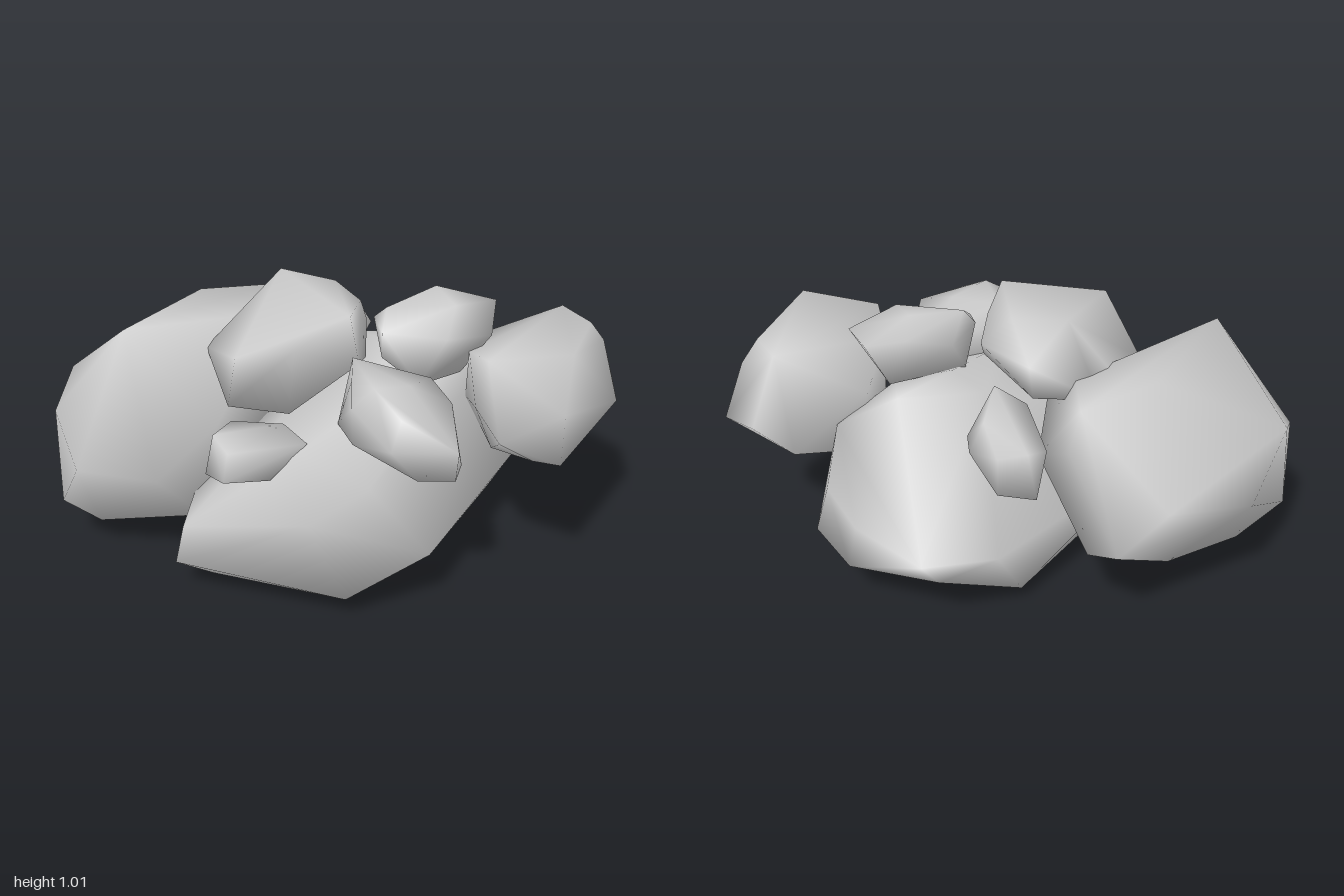
import * as THREE from 'three';
import { ConvexGeometry } from 'three/addons/geometries/ConvexGeometry.js';
import { mergeVertices } from 'three/addons/utils/BufferGeometryUtils.js';

const material = new THREE.MeshStandardMaterial({ color: 0xcccccc, roughness: 0.9 });

// A worn boulder: the hull of a few corners, shaded smoothly all round.
function rock(name, corners) {
  const hull = new ConvexGeometry(corners.map((c) => new THREE.Vector3(...c)));
  hull.deleteAttribute('normal');
  const smooth = mergeVertices(hull);
  smooth.computeVertexNormals();
  const mesh = new THREE.Mesh(smooth, material);
  mesh.name = name;
  return mesh;
}

// Corners of each boulder as [x, y, z]
const rocks = {
  // wide boulder the pile rests on
  baseRock: [
    [-0.62, 0.12, 0.3], [-0.59, 0.28, 0.33], [-0.49, 0.015, 0.23], [-0.17, 0, 0.25],
    [-0.07, 0.085, 0.57], [-0.01, 0.36, 0.64], [-0.2, 0.4, 0.59], [0, 0.53, 0.61],
    [-0.2, 0.58, 0.42], [0, 0.66, 0.32], [0.33, 0.245, 0.32], [0.22, 0.22, 0.55],
    [0.54, 0.19, 0.09], [0.45, 0.1, -0.15], [0.27, 0.05, 0.07], [0.71, 0.21, -0.13],
    [0.66, 0.42, -0.18], [0.57, 0.35, -0.33], [0.36, 0.33, -0.55], [0.1, 0.33, -0.53],
    [0.3, 0.24, -0.52], [0, 0.065, -0.37], [0.6, 0.18, -0.32], [0.4, 0.74, -0.13],
    [0.1, 0.75, -0.14], [0.2, 0.76, 0], [0.4, 0.7, 0.05], [-0.5, 0.3, 0],
    [0.61, 0.63, -0.1],
  ],
  // tall boulder leaning behind on the side
  largeBackRock: [
    [-0.27, 0.43, -0.7], [-0.44, 0.57, -0.67], [-0.76, 0.47, -0.52], [-0.93, 0.62, -0.29],
    [-1, 0.53, -0.12], [-1, 0.2, -0.15], [-1, 0.2, -0.05], [-0.93, 0.48, 0.24],
    [-0.67, 0.45, 0.31], [-0.74, 0.89, 0.03], [-0.45, 0.87, -0.34], [-0.18, 0.835, -0.43],
    [-0.2, 0.82, -0.2], [-0.82, 0.09, -0.2], [-0.87, 0.115, -0.03], [-0.5, 0.13, 0.02],
    [-0.14, 0.7, -0.47], [-0.07, 0.55, -0.25], [-0.5, 0.21, -0.46], [-0.45, 0.6, 0.22],
    [-0.2, 0.33, -0.54], [-0.12, 0.68, -0.1],
  ],
  // overhanging boulder on the opposite side
  sideRock: [
    [0.65, 0.72, 0.57], [0.65, 0.53, 0.56], [0.71, 0.875, 0.44], [0.81, 0.86, 0],
    [0.87, 0.85, 0.14], [0.5, 0.73, -0.07], [0.62, 0.65, -0.11], [0.76, 0.56, -0.165],
    [1, 0.6, 0.04], [0.98, 0.55, 0.17], [0.54, 0.37, 0.12], [0.65, 0.4, 0.13],
    [0.41, 0.66, 0.35], [0.42, 0.8, 0.2], [0.44, 0.58, 0.1], [0.93, 0.77, 0.12],
    [0.44, 0.84, 0.37], [0.9, 0.62, -0.08], [0.65, 0.51, -0.05], [0.48, 0.55, 0.42],
    [0.58, 0.51, 0.48],
  ],
  topRock: [
    [-0.18, 1.01, -0.14], [0, 0.985, -0.06], [0, 0.975, 0.24], [0.07, 0.95, 0.05],
    [-0.2, 0.9, 0.32], [-0.39, 0.88, 0.3], [-0.42, 0.72, 0.32], [-0.22, 0.68, 0.33],
    [-0.46, 0.78, -0.03], [-0.33, 0.82, -0.18], [-0.28, 0.75, -0.24], [-0.05, 0.78, -0.25],
    [0.1, 0.86, 0], [0.08, 0.76, 0.1], [0.03, 0.8, 0.24], [-0.25, 0.65, 0.05],
    [-0.04, 0.88, -0.22],
  ],
  upperSideRock: [
    [0.11, 0.9, 0.08], [0.15, 0.94, 0.1], [0.34, 0.975, 0.02], [0.55, 0.92, 0.05],
    [0.36, 0.93, -0.08], [0.5, 0.9, -0.05], [0.2, 0.88, -0.04], [0.5, 0.85, 0.19],
    [0.33, 0.87, 0.25], [0.12, 0.88, 0.18], [0.12, 0.79, 0.18], [0.4, 0.71, 0.17],
    [0.24, 0.7, 0.23], [0.15, 0.74, 0.05], [0.42, 0.73, -0.02], [0.38, 0.95, 0.15],
  ],
  frontRock: [
    [-0.06, 0.64, 0.35], [-0.03, 0.84, 0.44], [0, 0.85, 0.29], [0.03, 0.84, 0.51],
    [-0.04, 0.77, 0.5], [0.06, 0.78, 0.23], [0.16, 0.81, 0.45], [0.27, 0.75, 0.28],
    [0.31, 0.72, 0.42], [0.33, 0.53, 0.5], [0.27, 0.68, 0.69], [0.06, 0.68, 0.65],
    [0.16, 0.54, 0.6], [0.28, 0.54, 0.62], [-0.04, 0.65, 0.52], [0.04, 0.6, 0.24],
    [0.29, 0.55, 0.36], [0.1, 0.77, 0.61],
  ],
  smallFrontRock: [
    [-0.51, 0.53, 0.42], [-0.48, 0.66, 0.4], [-0.41, 0.66, 0.31], [-0.24, 0.65, 0.34],
    [-0.17, 0.6, 0.4], [-0.46, 0.54, 0.51], [-0.3, 0.49, 0.43], [-0.44, 0.63, 0.48],
    [-0.22, 0.52, 0.35], [-0.41, 0.51, 0.31],
  ],
  smallBackRock: [
    [-0.07, 0.7, -0.45], [0, 0.73, -0.51], [-0.03, 0.55, -0.51], [0.1, 0.72, -0.51],
    [0.1, 0.58, -0.51], [0.18, 0.68, -0.4], [0.18, 0.7, -0.33], [0.1, 0.67, -0.18],
    [-0.03, 0.76, -0.25], [0.08, 0.84, -0.25], [0.05, 0.55, -0.33], [-0.04, 0.58, -0.3],
    [0.13, 0.78, -0.38],
  ],
};

export function createModel() {
  const pile = new THREE.Group();
  pile.name = 'rockPile';
  for (const [name, corners] of Object.entries(rocks)) pile.add(rock(name, corners));
  return pile;
}
